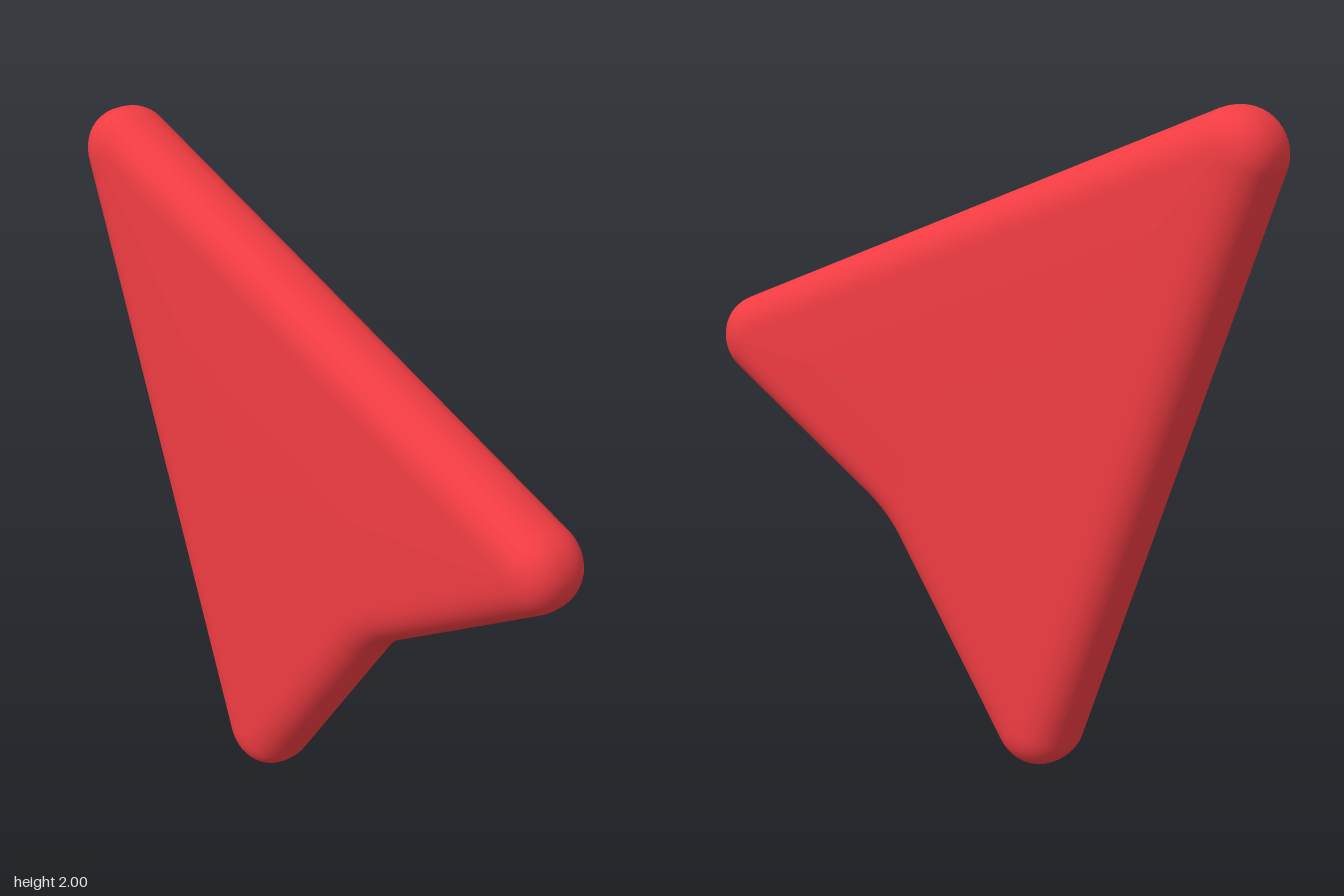
import * as THREE from 'three';

const RIM = 0.13;    // rim rounding in the outline
const HALF = 0.119;  // half thickness at the rim
const BULGE = 0.008; // slight swelling of the faces

// Corner arcs, counter-clockwise: centre, normal angles, radius of the hollow bend
const arcs = [
  { c: [-0.85, 1.87], from: 67, to: 199.6, hollow: 0, steps: 16 },
  { c: [-0.23, 0.13], from: 199.6, to: 325.4, hollow: 0, steps: 16 },
  { c: [0.592, 0.369], from: 325.4, to: 300.8, hollow: 0.41 + RIM, steps: 8 },
  { c: [0.845, 1.148], from: 300.8, to: 427, hollow: 0, steps: 16 },
];

// Spine points with outward normals; straight sides are subdivided
function makeSpine() {
  const corners = arcs.map(({ c, from, to, hollow, steps }) =>
    Array.from({ length: steps + 1 }, (_, i) => {
      const a = THREE.MathUtils.degToRad(from + (to - from) * i / steps);
      const n = new THREE.Vector2(Math.cos(a), Math.sin(a));
      return { p: new THREE.Vector2(...c).addScaledVector(n, -hollow), n };
    }));
  const spine = [];
  corners.forEach((corner, k) => {
    spine.push(...corner);
    const a = corner[corner.length - 1], b = corners[(k + 1) % corners.length][0];
    for (let i = 1; i < 10; i++) {
      spine.push({ p: a.p.clone().lerp(b.p, i / 10), n: a.n.clone().lerp(b.n, i / 10).normalize() });
    }
  });
  return spine;
}

// Rings from the front centre over the rim to the back centre
function makeRings() {
  const front = [];
  for (let i = 0; i <= 8; i++) {
    const s = i / 8;
    front.push({ s, d: 0, z: HALF + BULGE * (1 - s * s) });
  }
  for (let i = 1; i <= 12; i++) {
    const t = i / 12 * Math.PI / 2;
    front.push({ s: 1, d: RIM * Math.sin(t) ** 0.85, z: HALF * Math.max(0, Math.cos(t)) ** 0.85 });
  }
  front[front.length - 1].z = 0;
  const back = front.slice(0, -1).reverse().map((r) => ({ ...r, z: -r.z }));
  return [...front, ...back];
}

function pointerGeometry() {
  const spine = makeSpine(), rings = makeRings(), n = spine.length;
  const centre = new THREE.Vector2(-0.15, 1.05);
  const positions = [], index = [];
  rings.forEach(({ s, d, z }, r) => {
    spine.forEach((q, i) => {
      const v = centre.clone().lerp(q.p, s).addScaledVector(q.n, d);
      positions.push(v.x, v.y, z);
      if (r === rings.length - 1) return;
      const j = (i + 1) % n;
      const a = r * n + i, b = r * n + j, c = a + n, e = b + n;
      index.push(a, c, e, a, e, b);
    });
  });
  const geometry = new THREE.BufferGeometry();
  geometry.setAttribute('position', new THREE.Float32BufferAttribute(positions, 3));
  geometry.setIndex(index);
  geometry.computeVertexNormals();
  return geometry;
}

export function createModel() {
  const group = new THREE.Group();
  group.name = 'pointerArrow';
  const material = new THREE.MeshStandardMaterial({ color: 0xf03c42 });
  const body = new THREE.Mesh(pointerGeometry(), material);
  body.name = 'arrowBody';
  group.add(body);
  return group;
}
